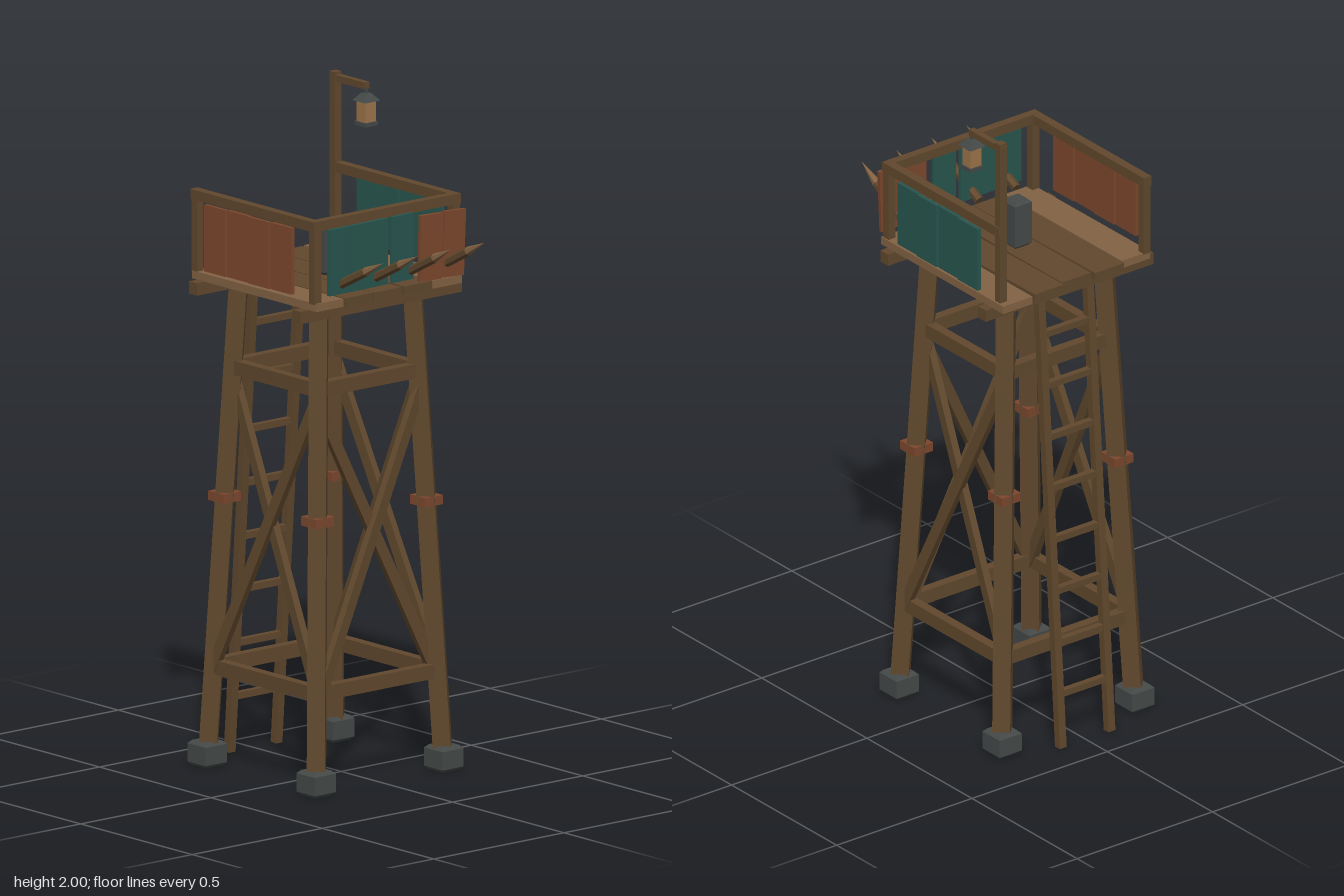
import * as THREE from 'three';

const mat = (name, color) => {
  const m = new THREE.MeshStandardMaterial({ color });
  m.name = name;
  return m;
};

export function createModel() {
  const wood = mat('dark wood', 0x60482d);
  const lightWood = mat('light wood', 0x826243);
  const teal = mat('teal sheet', 0x28564f);
  const rust = mat('rusty sheet', 0x7c472d);
  const stone = mat('dark stone', 0x444948);
  const glow = mat('lantern glass', 0x9c744a);

  const root = new THREE.Group();
  root.name = 'watchtower';
  const CZ = -0.07; // tower axis

  const add = (name, geo, material, x, y, z) => {
    const m = new THREE.Mesh(geo, material);
    m.name = name;
    m.position.set(x, y, z);
    root.add(m);
    return m;
  };
  const box = (name, material, w, h, d, x, y, z) =>
    add(name, new THREE.BoxGeometry(w, h, d), material, x, y, z);
  // square timber between two points
  const beam = (name, a, b, w, h, material = wood) => {
    const m = box(name, material, w, h, a.distanceTo(b), 0, 0, 0);
    m.position.copy(a).lerp(b, 0.5);
    m.lookAt(b);
    return m;
  };
  const V = (x, y, z) => new THREE.Vector3(x, y, z);
  // block with all edges chamfered
  const block = (name, material, w, h, c, x, y, z) => {
    const s = w / 2 - c;
    const shape = new THREE.Shape([[-s, -s], [s, -s], [s, s], [-s, s]].map(p => new THREE.Vector2(...p)));
    const geo = new THREE.ExtrudeGeometry(shape, {
      depth: h - 2 * c, bevelEnabled: true, bevelSize: c, bevelThickness: c, bevelSegments: 1
    });
    geo.translate(0, 0, c - h / 2).rotateX(-Math.PI / 2);
    return add(name, geo, material, x, y, z);
  };

  // Legs lean inwards; corner (sx, sz) at height y
  const legAt = (sx, sz, y) => {
    const r = 0.245 - 0.065 * y / 1.45;
    return V(sx * r, y, CZ + sz * r);
  };
  const corners = [[1, 1], [1, -1], [-1, -1], [-1, 1]];
  corners.forEach(([sx, sz], i) => {
    beam('leg', legAt(sx, sz, 0.03), legAt(sx, sz, 1.46), 0.053, 0.053);
    const f = legAt(sx, sz, 0);
    block('foot', stone, 0.082, 0.075, 0.01, f.x, 0.0375, f.z);
    const b = legAt(sx, sz, 0.81);
    box('legBand', rust, 0.068, 0.028, 0.068, b.x, b.y, b.z);

    // ring beams on every side, cross braces everywhere but the ladder side
    const [tx, tz] = corners[(i + 1) % 4];
    for (const y of [0.3, 1.2])
      beam('ringBeam', legAt(sx, sz, y), legAt(tx, tz, y), 0.03, 0.043);
    if (sz === -1 && tz === -1) return;
    const out = V(sx + tx, 0, sz + tz).normalize().multiplyScalar(0.008);
    beam('crossBrace', legAt(sx, sz, 0.28).add(out), legAt(tx, tz, 1.16).add(out), 0.022, 0.034);
    beam('crossBrace', legAt(tx, tz, 0.28).sub(out), legAt(sx, sz, 1.16).sub(out), 0.022, 0.034);
  });

  // Ladder leaning on the back
  const ladderZ = y => -0.395 + 0.105 * y / 1.45;
  for (const s of [-1, 1])
    beam('ladderRail', V(s * 0.09, 0.002, ladderZ(0)), V(s * 0.09, 1.45, ladderZ(1.45)), 0.025, 0.024);
  for (let i = 0; i < 8; i++) {
    const y = 0.17 + i * 0.1625;
    box('ladderRung', wood, 0.19, 0.02, 0.02, 0, y, ladderZ(y));
  }

  // Deck joists and planks
  for (const z of [-0.303, 0.162]) box('joist', wood, 0.62, 0.037, 0.036, 0, 1.443, z);
  [
    [-0.225, 0.104, -0.345, 0.004, lightWood], [-0.114, 0.108, -0.36, 0.012, wood],
    [-0.002, 0.106, -0.35, 0.003, wood], [0.112, 0.107, -0.363, 0.014, wood],
    [0.229, 0.109, -0.37, -0.002, lightWood]
  ].forEach(([x, w, back, turn, material]) => {
    const m = box('deckPlank', material, w, 0.024, 0.211 - back, x, 1.473, (back + 0.211) / 2);
    m.rotation.y = turn;
  });

  // Guard rail, with one tall post for the lantern
  for (const s of [-1, 1]) {
    box('frontPost', wood, 0.026, 0.23, 0.026, s * 0.266, 1.597, 0.194);
    const top = s > 0 ? 2 : 1.71;
    box('backPost', wood, 0.025, top - 1.482, 0.025, s * 0.265, (top + 1.482) / 2, -0.335);
    box('sideRail', wood, 0.028, 0.03, 0.555, s * 0.268, 1.715, CZ);
  }
  box('frontRail', wood, 0.56, 0.03, 0.027, 0, 1.7152, 0.194);

  // Sheet panels on the sides
  for (let i = 0; i < 4; i++) {
    const z = -0.218 + i * 0.0975;
    const shift = i % 2 ? 0.002 : -0.002;
    box('rightSidePanel', rust, 0.012, 0.2, 0.094, -0.291 + shift, 1.6, z);
    box('leftSidePanel', teal, 0.012, 0.2, 0.094, 0.289 - shift, 1.6, z);
  }
  // Sheet panels on the front: x, width, y, z, turn, lean
  [
    [-0.2, 0.08, 1.605, 0.222, 0.03, 0, teal], [-0.085, 0.147, 1.605, 0.22, 0.04, 0, teal],
    [0.048, 0.082, 1.605, 0.216, 0.03, 0, teal], [0.152, 0.082, 1.592, 0.223, -0.05, -0.02, rust],
    [0.236, 0.08, 1.592, 0.227, -0.03, -0.04, rust]
  ].forEach(([x, w, y, z, turn, lean, material]) => {
    box('frontPanel', material, w, 0.198, 0.012, x, y, z).rotation.set(0, turn, lean);
  });

  // Sharpened stakes pointing forwards and up
  [[-0.192, -0.183], [-0.056, -0.053], [0.082, 0.076], [0.212, 0.204]].forEach(([x0, x1]) => {
    const a = V(x0, 1.512, 0.18), b = V(x1, 1.63, 0.406);
    const stake = new THREE.Group();
    stake.name = 'stake';
    const shaft = new THREE.Mesh(new THREE.CylinderGeometry(0.014, 0.014, 0.168, 6), wood);
    const tip = new THREE.Mesh(new THREE.ConeGeometry(0.014, 0.087, 6), lightWood);
    shaft.name = 'stakeShaft';
    tip.name = 'stakeTip';
    shaft.position.y = 0.084;
    tip.position.y = 0.2115;
    for (const m of [shaft, tip]) m.geometry = m.geometry.toNonIndexed();
    for (const m of [shaft, tip]) m.geometry.computeVertexNormals();
    stake.add(shaft, tip);
    stake.position.copy(a);
    stake.quaternion.setFromUnitVectors(V(0, 1, 0), b.sub(a).normalize());
    root.add(stake);
  });

  // Stone block standing on the deck
  block('deckBlock', stone, 0.063, 0.15, 0.009, 0, 1.56, CZ);

  // Lantern on its arm
  const LX = 0.265, LZ = -0.197;
  box('lanternArm', wood, 0.02, 0.02, 0.155, LX, 1.982, -0.272);
  box('lanternHook', stone, 0.008, 0.022, 0.008, LX, 1.965, LZ);
  const square = (name, material, top, bottom, h, y) => {
    const geo = new THREE.CylinderGeometry(top * Math.SQRT1_2, bottom * Math.SQRT1_2, h, 4)
      .rotateY(Math.PI / 4).toNonIndexed();
    geo.computeVertexNormals();
    add(name, geo, material, LX, y, LZ);
  };
  square('lanternCap', stone, 0.022, 0.058, 0.022, 1.948);
  square('lanternBody', glow, 0.04, 0.04, 0.065, 1.906);
  square('lanternBase', stone, 0.048, 0.048, 0.012, 1.869);

  return root;
}
